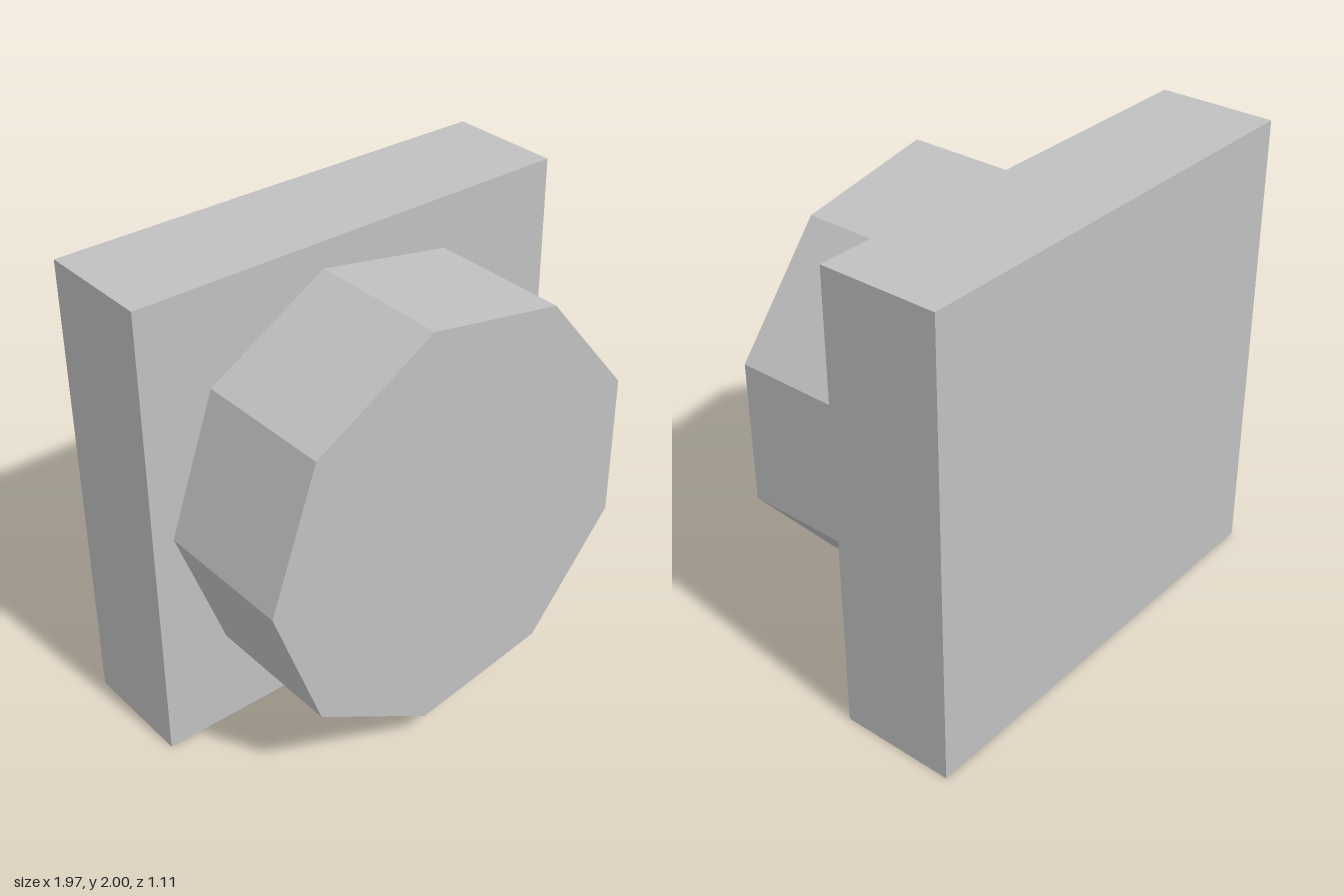
import * as THREE from 'three';

export function createModel() {
  const group = new THREE.Group();
  const grey = new THREE.MeshStandardMaterial({ color: 0xc0c0c0, flatShading: true });
  grey.name = 'light grey';

  const add = (name, geometry, x, y, z) => {
    const mesh = new THREE.Mesh(geometry, grey);
    mesh.name = name;
    mesh.position.set(x, y, z);
    group.add(mesh);
    return mesh;
  };

  // Square backing plate
  add('backPlate', new THREE.BoxGeometry(1.967, 2, 0.5), 0, 1, -0.305);

  // Nine-sided knob with one corner pointing to -x, slightly narrowed in x
  const knob = new THREE.CylinderGeometry(0.901, 0.901, 0.61, 9, 1, false, Math.PI * 1.5);
  knob.rotateX(Math.PI / 2);
  knob.scale(0.983, 1, 1);
  add('knob', knob, -0.007, 1.002, 0.25);

  return group;
}
